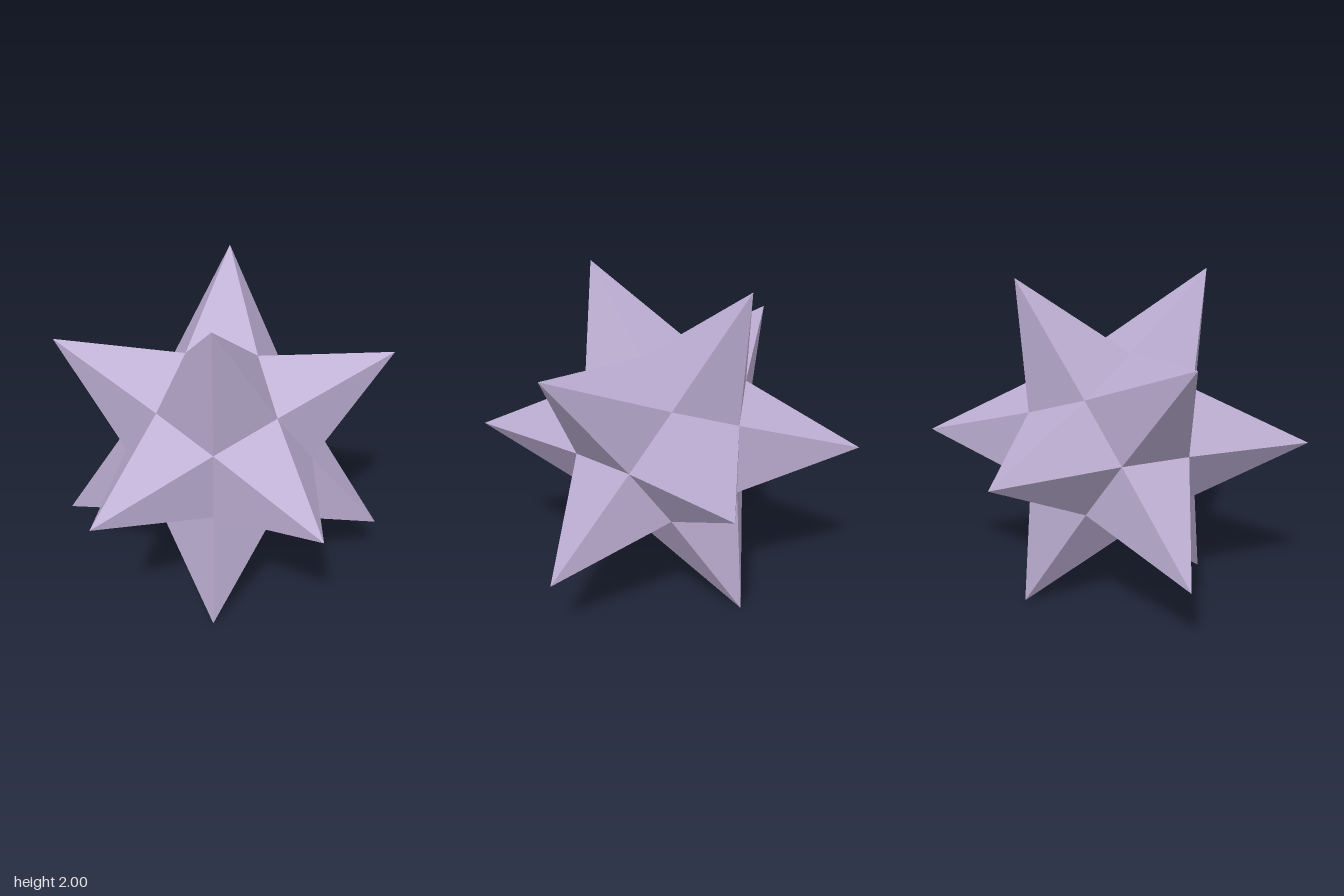
import * as THREE from 'three';

const PHI = (1 + Math.sqrt(5)) / 2;
const CORE = 0.345; // half side of the cube inscribed in the dodecahedral core

// The three cyclic permutations of (0, ±a, ±b)
function cyclicPoints(a, b) {
  const points = [];
  for (const s of [-1, 1]) for (const t of [-1, 1]) {
    points.push(
      new THREE.Vector3(0, s * a, t * b),
      new THREE.Vector3(t * b, 0, s * a),
      new THREE.Vector3(s * a, t * b, 0)
    );
  }
  return points;
}

// Five-sided spike from its tip down to the five nearest core corners
function spikeGeometry(tip, corners) {
  const base = [...corners]
    .sort((p, q) => p.distanceToSquared(tip) - q.distanceToSquared(tip))
    .slice(0, 5);
  const axis = tip.clone().normalize();
  const u = base[0].clone().projectOnPlane(axis).normalize();
  const v = axis.clone().cross(u);
  const angle = (p) => Math.atan2(p.dot(v), p.dot(u));
  base.sort((p, q) => angle(p) - angle(q));

  const points = [];
  base.forEach((p, i) => points.push(tip, p, base[(i + 1) % 5]));
  const geometry = new THREE.BufferGeometry().setFromPoints(points);
  geometry.computeVertexNormals();
  return geometry;
}

export function createModel() {
  const group = new THREE.Group();
  group.name = 'stellatedStar';
  const lilac = new THREE.MeshStandardMaterial({ color: 0xb9abcf, flatShading: true });
  lilac.name = 'lilac';

  // Dodecahedral core corners
  const corners = cyclicPoints(CORE / PHI, CORE * PHI);
  for (const x of [-1, 1]) for (const y of [-1, 1]) for (const z of [-1, 1]) {
    corners.push(new THREE.Vector3(x, y, z).multiplyScalar(CORE));
  }

  // Twelve spikes with tips at icosahedron corners
  cyclicPoints(1, 1 / PHI).forEach((tip, i) => {
    const spike = new THREE.Mesh(spikeGeometry(tip, corners), lilac);
    spike.name = `spike${i + 1}`;
    spike.position.y = 1;
    group.add(spike);
  });
  return group;
}
